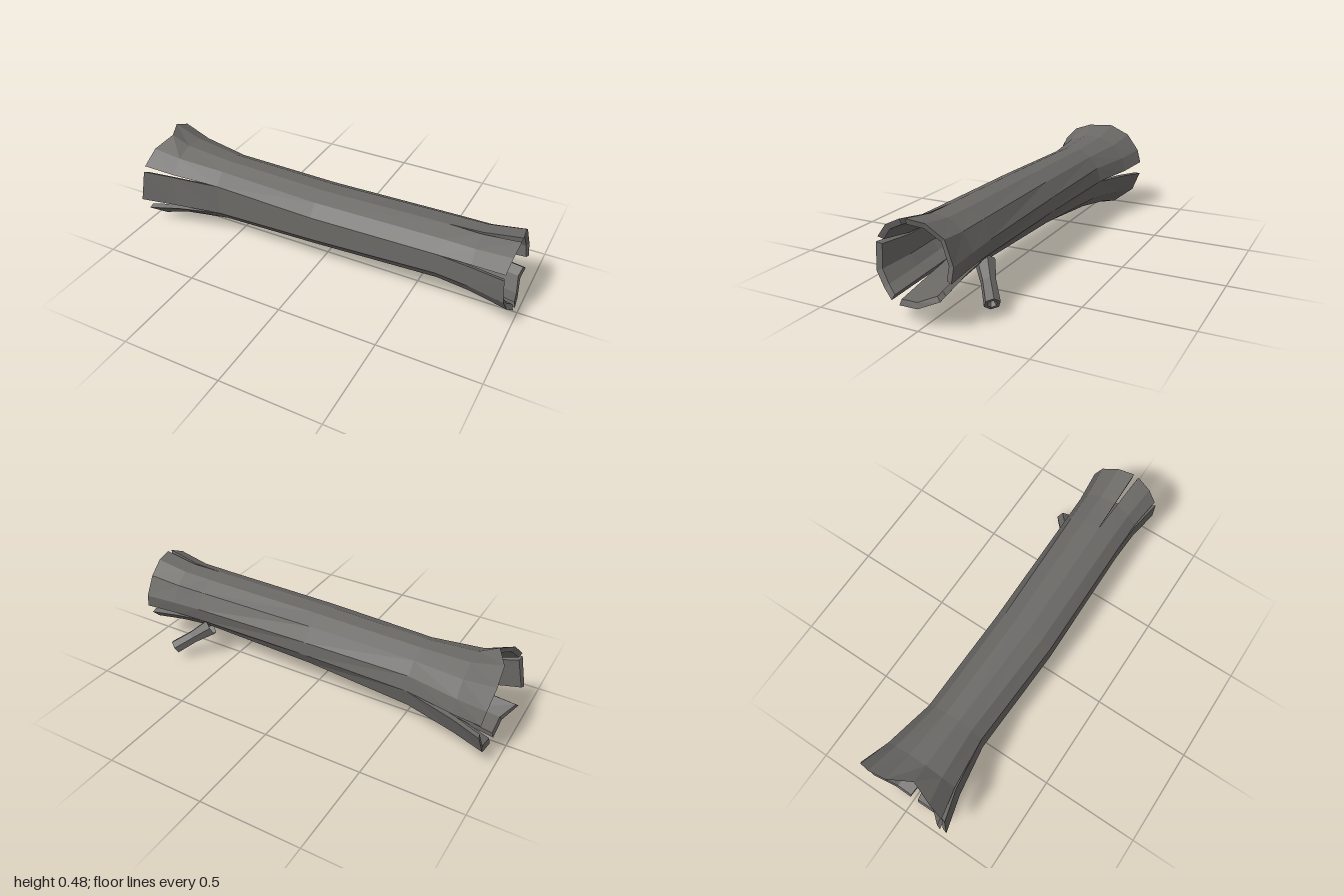
import * as THREE from 'three';

const material = new THREE.MeshStandardMaterial({
  color: 0x6b6966, flatShading: true, side: THREE.DoubleSide,
});

// Cross-section: centre (y, z) and radii along y and z at a position x
const ring = (x, y, z, ry, rz) => ({ x, y, z, ry, rz });
const COUNT = 12;
const THICK = 0.026;

// Each end: column angles, the columns that split, rim positions and rings from root to tip
const rootEnd = {
  side: -1,
  angles: [28, 55, 80, 105, 130, 155, 180, 215, 245, 270, 300, 332],
  gaps: { 0: 3.5, 6: 8, 9: 5, 11: 11 },
  tips: [-0.95, -0.93, -0.89, -0.95, -0.96, -0.95, -0.94, -0.95, -0.93, -0.93, -0.93, -0.98],
  rings: [
    ring(-0.55, 0.243, 0.01, 0.174, 0.168),
    ring(-0.8, 0.235, 0, 0.203, 0.214),
    ring(-0.95, 0.24, 0, 0.243, 0.26),
  ],
  apex: [-0.1, 0.26, 0.02],
};
const crownEnd = {
  side: 1,
  angles: [22, 50, 80, 110, 140, 175, 205, 230, 262, 292, 316, 340],
  gaps: { 0: 4, 2: 4, 6: 9, 9: 6 },
  tips: [0.96, 0.97, 0.98, 0.97, 0.96, 0.97, 0.98, 0.97, 0.99, 1.0, 0.98, 0.97],
  rings: [
    ring(0.64, 0.283, 0.026, 0.145, 0.166),
    ring(0.8, 0.276, 0.027, 0.156, 0.17),
    ring(0.98, 0.275, 0.031, 0.187, 0.191),
  ],
  apex: [0.1, 0.28, 0.035],
};

// Point on a ring at an angle in degrees, optionally set inwards
function pointOn(r, degrees, inset = 0, x = r.x) {
  const a = THREE.MathUtils.degToRad(degrees);
  return [x, r.y + (r.ry - inset) * Math.sin(a), r.z + (r.rz - inset) * Math.cos(a)];
}

function meshFrom(name, build) {
  const positions = [];
  const tri = (a, b, c) => positions.push(...a, ...b, ...c);
  const quad = (a, b, c, d, flip = false) => {
    if (flip) { tri(a, d, c); tri(a, c, b); } else { tri(a, b, c); tri(a, c, d); }
  };
  build(quad, tri);
  const geometry = new THREE.BufferGeometry();
  geometry.setAttribute('position', new THREE.Float32BufferAttribute(positions, 3));
  geometry.computeVertexNormals();
  const mesh = new THREE.Mesh(geometry, material);
  mesh.name = name;
  return mesh;
}

// Trunk lofted between the two ends' root rings
function makeTrunk() {
  const rings = [rootEnd.rings[0], ring(0, 0.265, 0.031, 0.152, 0.17), crownEnd.rings[0]];
  const angle = (k, t) => THREE.MathUtils.lerp(rootEnd.angles[k], crownEnd.angles[k], t);
  return meshFrom('trunk', (quad) => {
    for (let s = 0; s < 2; s++) {
      for (let k = 0; k < COUNT; k++) {
        const j = (k + 1) % COUNT;
        const p = (c, i) => pointOn(rings[i], angle(c, i / 2));
        quad(p(k, s), p(k, s + 1), p(j, s + 1), p(j, s));
      }
    }
  });
}

// Flared end, split into staves with thick edges
function makeSplitEnd(name, end) {
  const { angles, gaps, tips, rings, side } = end;
  const opening = [0, 0.5, 1];
  const last = rings.length - 1;
  // A column's angle moves away from its split; direction is +1 or -1
  const point = (k, s, direction, inset) => {
    const a = angles[k] + (gaps[k] ?? 0) * opening[s] * direction;
    const x = s === last ? tips[k] - side * inset * 0.3 : rings[s].x;
    return pointOn(rings[s], a, inset, x);
  };
  return meshFrom(name, (quad) => {
    for (let k = 0; k < COUNT; k++) {
      const j = (k + 1) % COUNT;
      for (let s = 0; s < last; s++) {
        // Bark and inner wall
        for (const inset of [0, THICK]) {
          quad(point(k, s, 1, inset), point(k, s + 1, 1, inset),
            point(j, s + 1, -1, inset), point(j, s, -1, inset), (side < 0) !== (inset > 0));
        }
        // Side walls of the splits
        for (const [c, direction] of [[k, 1], [j, -1]]) {
          if (gaps[c] === undefined) continue;
          quad(point(c, s, direction, 0), point(c, s, direction, THICK),
            point(c, s + 1, direction, THICK), point(c, s + 1, direction, 0),
            (side < 0) !== (direction < 0));
        }
      }
      // Broken rim
      quad(point(k, last, 1, 0), point(k, last, 1, THICK),
        point(j, last, -1, THICK), point(j, last, -1, 0), side > 0);
    }
  });
}

// Hollow narrowing to a point inside the trunk
function makeHollow(name, end) {
  return meshFrom(name, (quad, tri) => {
    for (let k = 0; k < COUNT; k++) {
      const a = pointOn(end.rings[0], end.angles[k], THICK);
      const b = pointOn(end.rings[0], end.angles[(k + 1) % COUNT], THICK);
      if (end.side > 0) tri(end.apex, b, a); else tri(end.apex, a, b);
    }
  });
}

// Short broken branch stub with a hollow tip
function makeBranch() {
  const start = new THREE.Vector3(0.61, 0.175, -0.09);
  const along = new THREE.Vector3(0.765, 0.063, -0.21).sub(start);
  const length = along.length();
  const profile = [[0.046, 0], [0.034, length * 0.5], [0.037, length], [0.022, length], [0, length - 0.05]]
    .map(([r, y]) => new THREE.Vector2(r, y));
  const mesh = new THREE.Mesh(new THREE.LatheGeometry(profile, 6), material);
  mesh.position.copy(start);
  mesh.quaternion.setFromUnitVectors(new THREE.Vector3(0, 1, 0), along.normalize());
  mesh.name = 'branchStub';
  return mesh;
}

export function createModel() {
  const log = new THREE.Group();
  log.name = 'hollowLog';
  log.add(
    makeTrunk(),
    makeSplitEnd('rootEndStaves', rootEnd),
    makeSplitEnd('crownEndStaves', crownEnd),
    makeHollow('rootEndHollow', rootEnd),
    makeHollow('crownEndHollow', crownEnd),
    makeBranch(),
  );
  return log;
}
